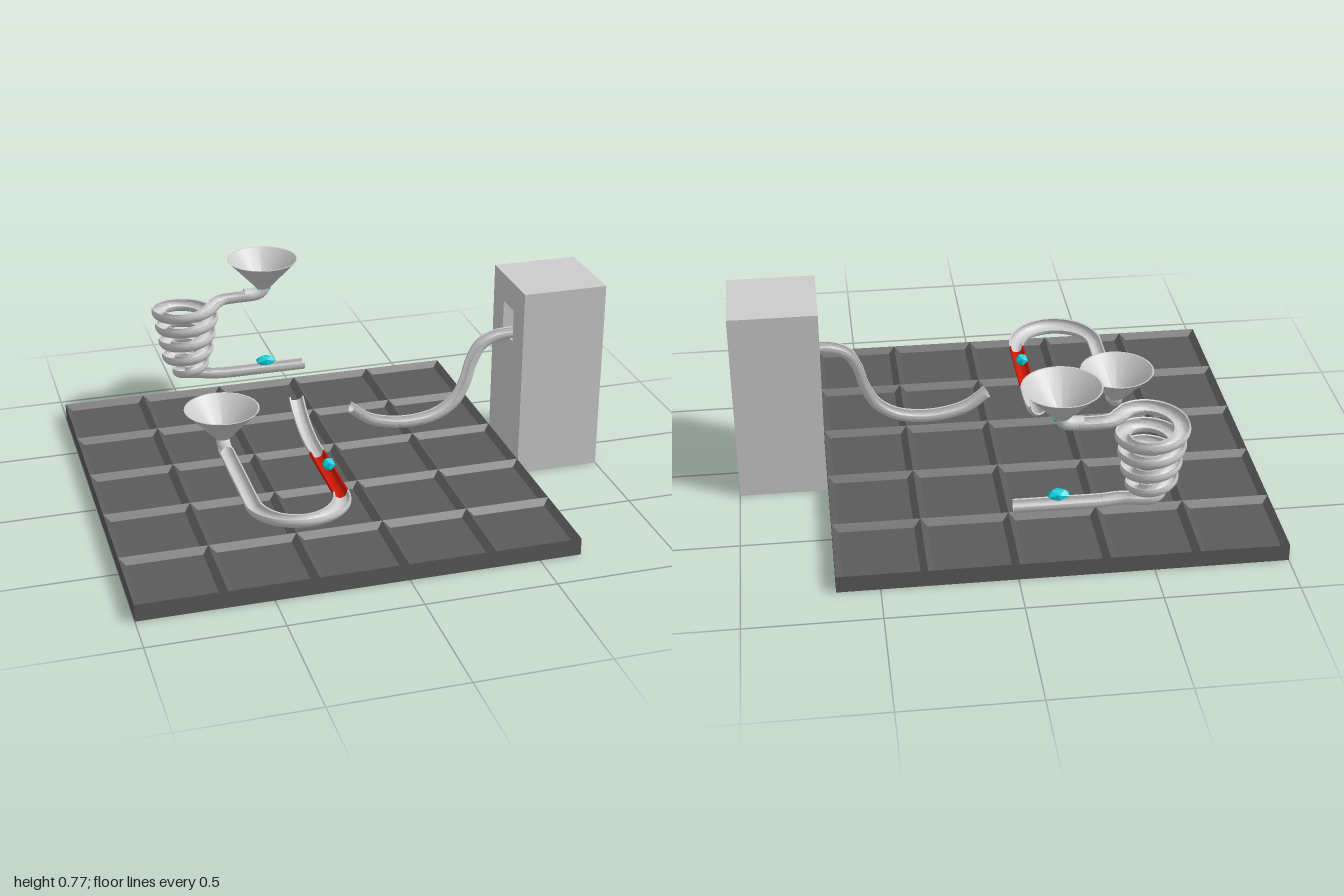
import * as THREE from 'three';
import { toCreasedNormals } from 'three/addons/utils/BufferGeometryUtils.js';

const material = (color) => new THREE.MeshStandardMaterial({ color, side: THREE.DoubleSide });
const grey = material(0xcccccc);
const darkGrey = material(0x5a5a5a);
const red = material(0xd01808);
const cyan = material(0x10d0dc);
const V = (x, y, z) => new THREE.Vector3(x, y, z);
const curveOf = (pts) => new THREE.CatmullRomCurve3(pts.map((p) => V(...p)), false, 'centripetal');

const R = 0.03;      // channel radius
const LEVEL = 0.213; // height of the lower track axis

function add(parent, name, geometry, mat, x = 0, y = 0, z = 0) {
  const mesh = new THREE.Mesh(geometry, mat);
  mesh.name = name;
  mesh.position.set(x, y, z);
  parent.add(mesh);
  return mesh;
}

// Open-topped gutter swept along a curve; upAt(point, t) leans it, widen(t) scales it
function channel(curve, steps, upAt = () => V(0, 1, 0), widen = () => 1) {
  const n = 12, count = 2 * n + 2, positions = [], index = [];
  const profile = [];
  for (let j = 0; j < count; j++) {
    const outer = j <= n, k = outer ? j : 2 * n + 1 - j;
    const a = Math.PI - 0.25 + (k / n) * (Math.PI + 0.5);
    const r = outer ? R : R - 0.006;
    profile.push([r * Math.cos(a), r * Math.sin(a)]);
  }
  for (let i = 0; i <= steps; i++) {
    const t = i / steps, p = curve.getPointAt(t), tangent = curve.getTangentAt(t);
    const side = tangent.clone().cross(upAt(p, t)).normalize();
    const up = side.clone().cross(tangent);
    for (const [s, u] of profile) {
      const v = p.clone().addScaledVector(side, s * widen(t)).addScaledVector(up, u);
      positions.push(v.x, v.y, v.z);
    }
  }
  for (let i = 0; i < steps; i++) {
    for (let j = 0; j < count; j++) {
      const a = i * count + j, b = i * count + (j + 1) % count;
      index.push(a, a + count, b, b, a + count, b + count);
    }
  }
  // End caps
  for (let j = 0; j < n; j++) {
    const q = [j, j + 1, 2 * n - j, 2 * n + 1 - j], e = steps * count;
    index.push(q[0], q[1], q[2], q[0], q[2], q[3]);
    index.push(e + q[0], e + q[2], e + q[1], e + q[0], e + q[3], e + q[2]);
  }
  const g = new THREE.BufferGeometry();
  g.setAttribute('position', new THREE.Float32BufferAttribute(positions, 3));
  g.setIndex(index);
  return toCreasedNormals(g, 0.7);
}

// Cone with a short neck that bends into a level pipe
function funnel(name, x, top, z, dx, dz) {
  const g = new THREE.Group();
  g.name = name;
  g.position.set(x, top, z);
  const profile = [[0.028, -0.125], [0.04, -0.112], [0.142, -0.003], [0.146, 0], [0.14, 0], [0.034, -0.112], [0.024, -0.125]];
  const lathe = new THREE.LatheGeometry(profile.map((p) => new THREE.Vector2(...p)), 40);
  add(g, 'funnelCone', toCreasedNormals(lathe, 0.6), grey);
  const bend = curveOf([[0, -0.11, 0], [0, -0.13, 0], [dx * 0.015, -0.146, dz * 0.015],
    [dx * 0.04, -0.153, dz * 0.04], [dx * 0.08, -0.154, dz * 0.08]]);
  add(g, 'funnelElbow', new THREE.TubeGeometry(bend, 16, 0.027, 16), grey);
  return g;
}

function buildBoard() {
  const g = new THREE.Group();
  g.name = 'board';
  const cell = 0.332, size = cell * 5, cx = -0.17, floor = 0.045, rim = 0.067;
  add(g, 'boardBase', new THREE.BoxGeometry(size, floor, size), darkGrey, cx, floor / 2, 0);
  // Four-sided open ring used for the rim and the sloped cell walls
  const ring = (top, bottom) => {
    const r = new THREE.CylinderGeometry(top / Math.SQRT2, bottom / Math.SQRT2, rim - floor, 4, 1, true);
    r.rotateY(Math.PI / 4);
    return toCreasedNormals(r, 0.1);
  };
  const y = (rim + floor) / 2;
  add(g, 'boardRim', ring(size, size), darkGrey, cx, y, 0);
  const walls = ring(cell, cell - 0.05);
  for (let i = -2; i <= 2; i++) {
    for (let j = -2; j <= 2; j++) add(g, 'cellWalls', walls, darkGrey, cx + i * cell, y, j * cell);
  }
  return g;
}

function buildTower() {
  const g = new THREE.Group();
  g.name = 'tower';
  const w = 0.33, h = 0.77, slab = 0.1;
  // Wall pierced by a square opening, with the solid body behind it
  const face = new THREE.Shape([[-w / 2, 0], [w / 2, 0], [w / 2, h], [-w / 2, h]].map((p) => new THREE.Vector2(...p)));
  face.holes.push(new THREE.Path([[-0.055, 0.53], [-0.055, 0.66], [0.055, 0.66], [0.055, 0.53]].map((p) => new THREE.Vector2(...p))));
  const wall = new THREE.ExtrudeGeometry(face, { depth: slab, bevelEnabled: false });
  wall.rotateY(Math.PI / 2);
  add(g, 'towerWall', wall, grey, 0.664, 0, 0);
  const depth = 1 - 0.664 - slab;
  add(g, 'towerBody', new THREE.BoxGeometry(depth, h, w), grey, 1 - depth / 2, h / 2, 0);
  return g;
}

function buildSpiral() {
  const g = new THREE.Group();
  g.name = 'spiralRun';
  const cx = -0.5, cz = -0.665, start = 0.5, end = 9.5 * Math.PI;
  g.add(funnel('upperFunnel', -0.17, 0.7, cz, -1, 0));
  const pts = [[-0.23, 0.549, cz], [-0.3, 0.548, cz], [-0.35, 0.547, cz + 0.008]];
  // Coils shrink slowly, then close in on the centre
  const n = 100;
  for (let i = 0; i <= n; i++) {
    const t = i / n, a = start + t * (end - start);
    const r = 0.115 - 0.055 * t - 0.038 * Math.max(0, (t - 0.8) / 0.2);
    pts.push([cx + r * Math.cos(a), 0.54 - 0.315 * t, cz + r * Math.sin(a)]);
  }
  pts.push([-0.45, 0.222, cz - 0.012], [-0.4, 0.218, cz], [-0.33, LEVEL, cz]);
  const lean = (p) => {
    const inward = V(cx - p.x, 0, cz - p.z);
    if (inward.length() > 0.125) return V(0, 1, 0);
    return inward.multiplyScalar(2.5).add(V(0, 1, 0));
  };
  add(g, 'spiralChannel', channel(curveOf(pts), 360, lean), grey);
  add(g, 'exitChannel', channel(curveOf([[-0.33, LEVEL, cz], [0, LEVEL, cz]]), 2), grey);
  return g;
}

function buildLoop() {
  const g = new THREE.Group();
  g.name = 'loopRun';
  const left = -0.498, right = -0.166, mid = (left + right) / 2;
  g.add(funnel('lowerFunnel', left, 0.367, 0, 0, 1));
  add(g, 'straightChannel', channel(curveOf([[left, LEVEL, 0.05], [left, LEVEL, 0.5]]), 2), grey);
  // Banked half-turn, widest in its middle
  const turn = [];
  for (let i = 0; i <= 24; i++) {
    const a = Math.PI * (1 - i / 24);
    turn.push([mid + 0.166 * Math.cos(a), LEVEL + 0.004 * Math.sin(a), 0.5 + 0.166 * Math.sin(a)]);
  }
  const bank = (p, t) => V(mid - p.x, 0, 0.5 - p.z).multiplyScalar(1.5 * Math.sin(Math.PI * t)).add(V(0, 1, 0));
  add(g, 'turnChannel', channel(curveOf(turn), 48, bank, (t) => 1 + 0.4 * Math.sin(Math.PI * t)), grey);
  add(g, 'redChannel', channel(curveOf([[right, LEVEL, 0.5], [right, LEVEL, 0.166]]), 2), red);
  const jump = curveOf([[right, LEVEL, 0.166], [right, 0.216, 0.07], [right, 0.235, -0.02], [right, 0.265, -0.09], [right, 0.305, -0.145]]);
  add(g, 'jumpRamp', channel(jump, 30), grey);
  return g;
}

export function createModel() {
  const model = new THREE.Group();
  model.name = 'marbleRun';
  model.add(buildBoard(), buildTower(), buildSpiral(), buildLoop());

  // S-shaped slide rising into the tower
  const slide = curveOf([[0.025, 0.307, 0], [0.1, 0.25, 0], [0.19, 0.223, 0], [0.29, 0.218, 0], [0.38, 0.238, 0],
    [0.445, 0.285, 0], [0.485, 0.36, 0], [0.508, 0.44, 0], [0.548, 0.512, 0], [0.61, 0.544, 0], [0.72, 0.55, 0]]);
  add(model, 'towerSlide', channel(slide, 80), grey);

  // Faceted marbles
  const marble = new THREE.IcosahedronGeometry(0.027, 0);
  add(model, 'marble', marble, cyan, -0.166, 0.246, 0.335);
  add(model, 'marble', marble, cyan, -0.168, 0.575, -0.665).scale.set(1.3, 0.9, 1.1);
  add(model, 'marble', marble, cyan, -0.166, 0.243, -0.66).scale.set(1.7, 0.85, 1.15);
  return model;
}
